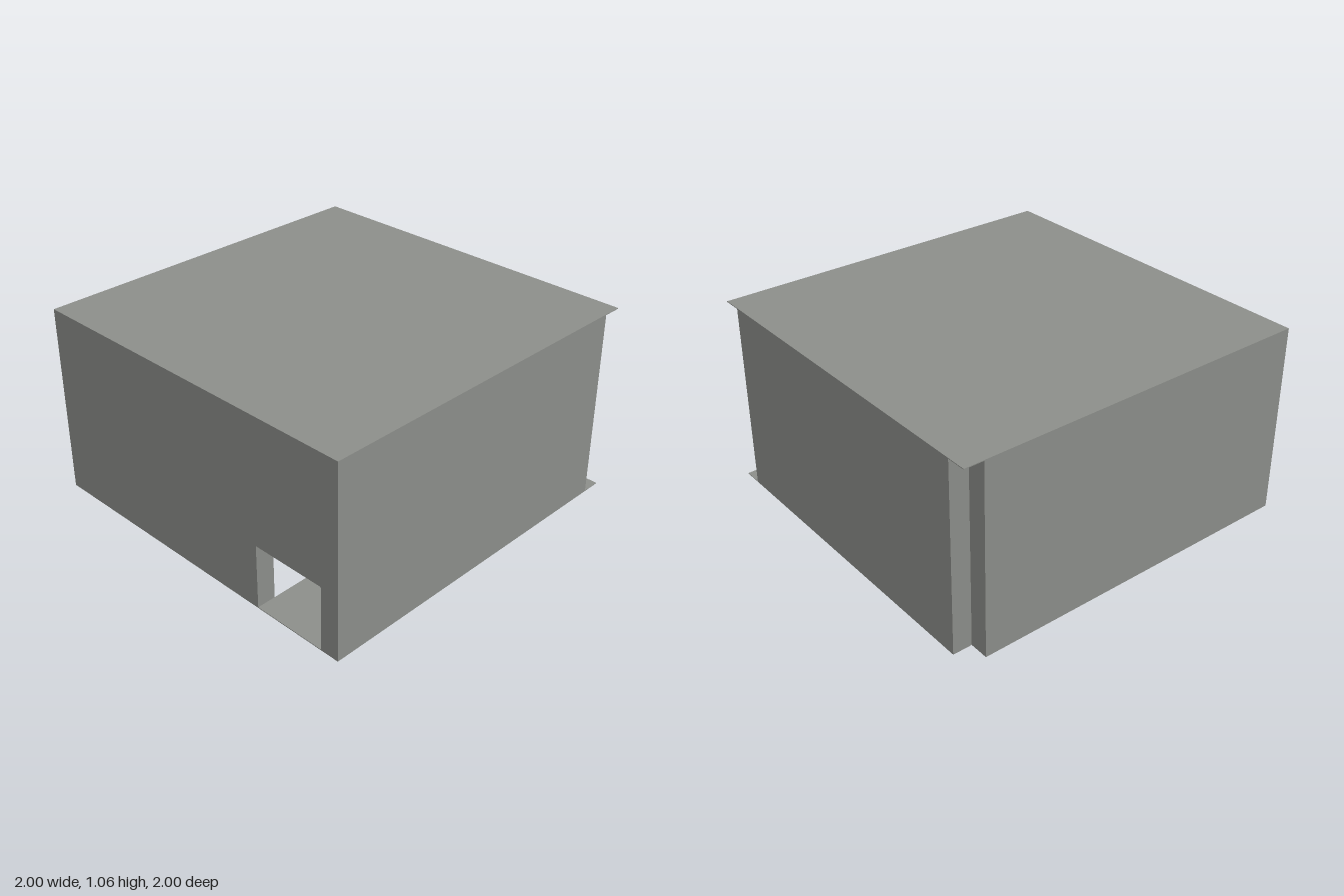
import * as THREE from 'three';

const stone = new THREE.MeshStandardMaterial({ color: 0x8c8e8a });
stone.name = 'stoneGrey';

// Block given by its minimum and maximum corners
function block(name, [x0, y0, z0], [x1, y1, z1]) {
  const mesh = new THREE.Mesh(new THREE.BoxGeometry(x1 - x0, y1 - y0, z1 - z0), stone);
  mesh.position.set((x0 + x1) / 2, (y0 + y1) / 2, (z0 + z1) / 2);
  mesh.name = name;
  return mesh;
}

export function createModel() {
  const group = new THREE.Group();
  group.name = 'hollowRoom';

  const inner = 0.895;   // inner faces of the walls
  const top = 1.056;     // roof height
  const wallTop = 1.052; // underside of the thin roof
  const doorX = 0.474;   // inner side of the doorway, edge of the floor
  const doorTop = 0.36;

  // Front wall with the doorway cut out of its lower edge
  const shape = new THREE.Shape([
    [-1, 0], [doorX, 0], [doorX, doorTop], [inner, doorTop],
    [inner, 0], [1, 0], [1, wallTop], [-1, wallTop],
  ].map(([x, y]) => new THREE.Vector2(x, y)));
  const frontWall = new THREE.Mesh(
    new THREE.ExtrudeGeometry(shape, { depth: 1 - inner, bevelEnabled: false }), stone);
  frontWall.position.z = inner;
  frontWall.name = 'frontWall';
  group.add(frontWall);

  // Side and back walls stop short of the rear corners, leaving square notches
  group.add(
    block('leftWall', [inner, 0, -inner], [1, wallTop, inner]),
    block('rightWall', [-1, 0, -inner], [-inner, wallTop, inner]),
    block('backWall', [-inner, 0, -1], [inner, wallTop, -inner]),
  );

  // Thin roof over everything, thin floor strip behind the door
  group.add(
    block('roof', [-1, wallTop, -1], [1, top, 1]),
    block('floorStrip', [doorX, 0, -inner], [inner, 0.004, 1]),
    block('floorCorner', [inner, 0, -1], [1, 0.004, -inner]),
  );

  // Ledges on the inside walls
  group.add(
    block('frontLedge', [-0.26, 0.31, 0.41], [0.26, 0.42, inner]),
    block('sideLedge', [-inner, 0.566, -0.43], [-0.365, 0.676, 0.095]),
  );

  return group;
}
